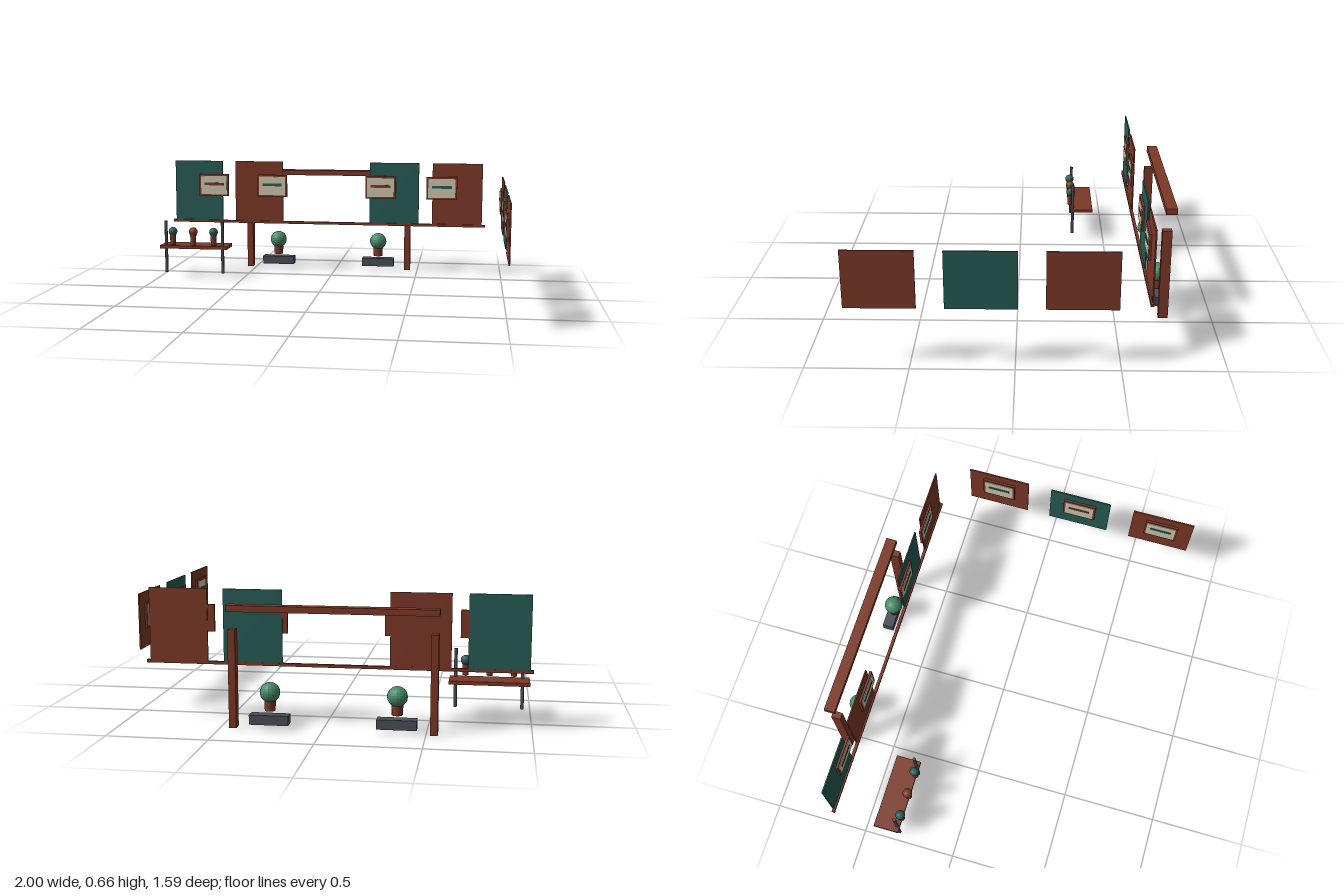
import * as THREE from 'three';

const mat = (name, color, flatShading = false) => {
  const m = new THREE.MeshStandardMaterial({ color, flatShading });
  m.name = name;
  return m;
};

export function createModel() {
  const brown = mat('redwood', 0x7c3826);
  const teal = mat('deep teal', 0x265c55);
  const cream = mat('cream paper', 0xcfc7b0);
  const slate = mat('slate metal', 0x4a4e58);
  const green = mat('leaf green', 0x478a68);
  green.flatShading = true;

  const root = new THREE.Group();
  root.name = 'courtyardSet';

  const add = (parent, name, geometry, material, x, y, z) => {
    const mesh = new THREE.Mesh(geometry, material);
    mesh.name = name;
    mesh.position.set(x, y, z);
    parent.add(mesh);
    return mesh;
  };
  const box = (parent, name, material, w, h, d, x, y, z) =>
    add(parent, name, new THREE.BoxGeometry(w, h, d), material, x, y, z);

  // Wall panel facing +z, with a framed notice on its front
  const panel = (name, main, accent, w, h, signX, signY) => {
    const g = new THREE.Group();
    g.name = name;
    box(g, 'board', main, w, h, 0.007, 0, 0, 0);
    const sign = new THREE.Group();
    sign.name = 'notice';
    sign.position.set(signX, signY, 0);
    box(sign, 'noticeFrame', brown, 0.182, 0.135, 0.013, 0, 0, 0.008);
    box(sign, 'noticePaper', cream, 0.16, 0.113, 0.004, 0, 0, 0.0155);
    box(sign, 'noticeStripe', accent, 0.118, 0.016, 0.003, 0, 0.007, 0.0185);
    g.add(sign);
    root.add(g);
    return g;
  };

  // Back row of panels on a long rail
  [[-0.837, teal, brown, 0.095], [-0.462, brown, teal, 0.082],
    [0.362, teal, brown, -0.082], [0.737, brown, teal, -0.092]].forEach(([x, main, accent, sx], i) => {
    panel(`backPanel${i + 1}`, main, accent, 0.295, 0.365, sx, 0.035).position.set(x, 0.482, -0.645);
  });
  box(root, 'panelRail', brown, 1.905, 0.015, 0.016, -0.0475, 0.294, -0.641);

  // Side row of panels, notices turned inward
  [[-0.312, brown, teal], [0.157, teal, brown], [0.627, brown, teal]].forEach(([z, main, accent], i) => {
    const p = panel(`sidePanel${i + 1}`, main, accent, 0.34, 0.29, 0, 0.022);
    p.position.set(0.9955, 0.461, z);
    p.rotation.y = -Math.PI / 2;
  });

  // Gateway posts and floating lintel
  for (const x of [-0.538, 0.438]) box(root, 'gatePost', brown, 0.036, 0.485, 0.05, x, 0.2425, -0.752);
  box(root, 'gateBeam', brown, 1.02, 0.031, 0.057, -0.05, 0.59, -0.768);

  // Potted shrubs above slate plinths
  for (const x of [-0.36, 0.26]) {
    const g = new THREE.Group();
    g.name = 'shrub';
    g.position.set(x, 0, -0.735);
    box(g, 'plinth', slate, 0.193, 0.048, 0.06, 0, 0.045, -0.015);
    add(g, 'shrubPot', new THREE.CylinderGeometry(0.029, 0.027, 0.06, 12), brown, 0, 0.115, 0);
    add(g, 'foliage', new THREE.SphereGeometry(0.05, 16, 12), green, 0, 0.175, 0);
    root.add(g);
  }

  // Display shelf on two metal poles
  const shelf = new THREE.Group();
  shelf.name = 'displayShelf';
  box(shelf, 'shelfBoard', brown, 0.403, 0.018, 0.135, -0.79, 0.182, -0.3655);
  for (const x of [-0.957, -0.618]) {
    add(shelf, 'shelfPole', new THREE.CylinderGeometry(0.009, 0.009, 0.307, 10), slate, x, 0.183, -0.314);
  }
  [[-0.912, teal], [-0.79, brown], [-0.668, teal]].forEach(([x, m]) => {
    add(shelf, 'smallPot', new THREE.CylinderGeometry(0.018, 0.016, 0.066, 10), brown, x, 0.23, -0.3);
    add(shelf, 'ornament', new THREE.SphereGeometry(0.026, 12, 8), m, x, 0.275, -0.302);
  });
  root.add(shelf);

  return root;
}
